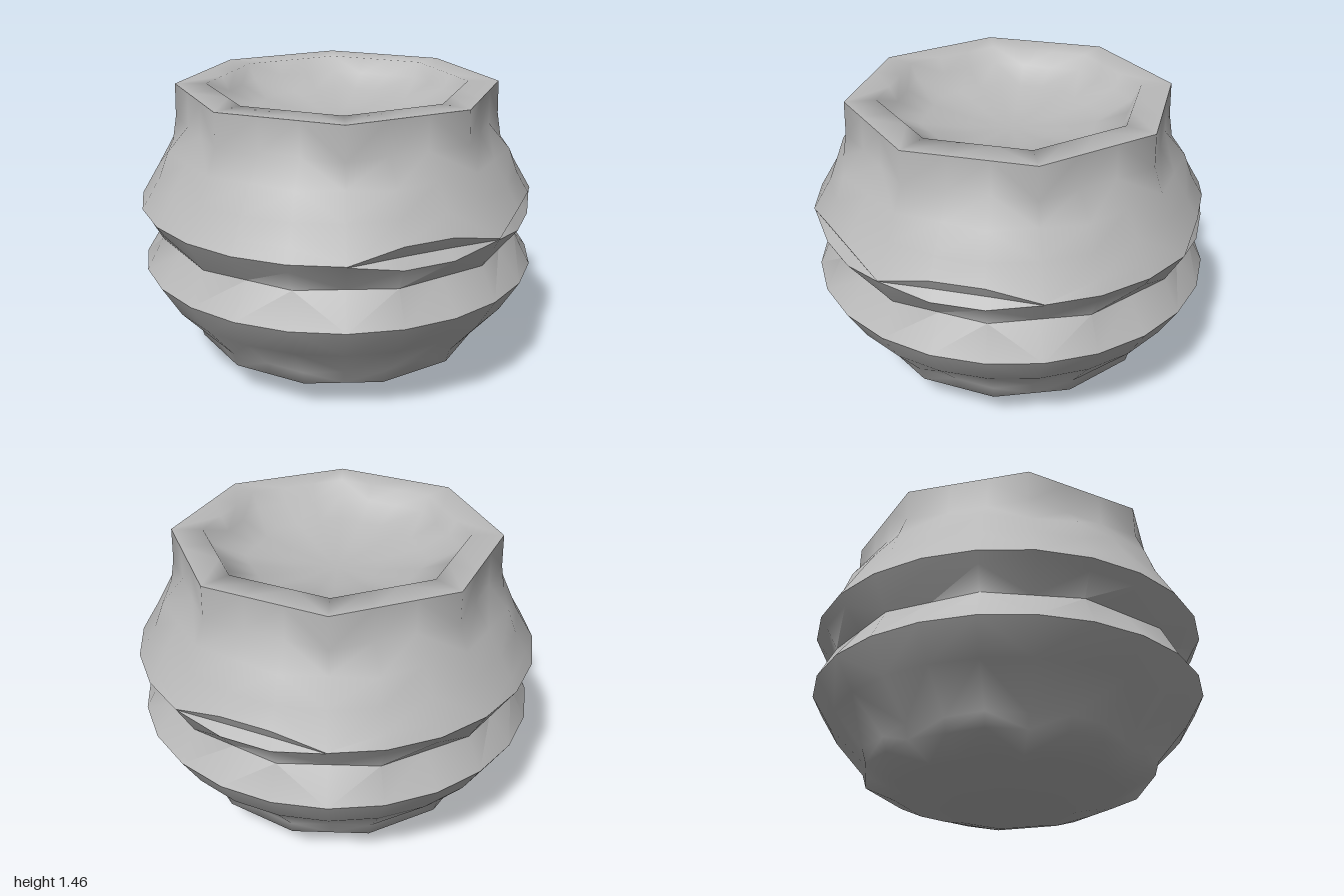
import * as THREE from 'three';
import { toCreasedNormals } from 'three/addons/utils/BufferGeometryUtils.js';

const SEG = 24;
const NOTCHED_SECTORS = [0, 2, 7];

// Radius of a regular n-sided ring, with a corner facing +z
function ringRadius(r, n, theta) {
  const step = (2 * Math.PI) / n;
  const local = ((theta + 1e-7) % step) - step / 2;
  return (r * Math.cos(step / 2)) / Math.cos(local);
}

// Skin a stack of rings [radius, y, sides, style]
function skinRings(rings, creaseDegrees) {
  const points = [];
  const index = [];
  rings.forEach(([r, y, sides, style]) => {
    for (let i = 0; i < SEG; i++) {
      const theta = (i / SEG) * 2 * Math.PI;
      // The notch valley cuts straight across an eighth of the ring
      const cut = style === 'valley' && NOTCHED_SECTORS.includes(Math.floor(i / 3));
      let radius = ringRadius(r, cut ? 8 : sides, theta);
      let height = y;
      // The notch lips close up to a point at both ends
      if (style === 'lip' && i % 3 === 0) {
        radius = 0.996;
        height = 0.89 + Math.sign(y - 0.89) * 0.006;
      }
      points.push(radius * Math.sin(theta), height, radius * Math.cos(theta));
    }
  });
  for (let j = 0; j < rings.length - 1; j++) {
    for (let i = 0; i < SEG; i++) {
      const k = (i + 1) % SEG;
      const a = j * SEG + i, b = j * SEG + k;
      const c = b + SEG, d = a + SEG;
      if (rings[j][0] === 0) index.push(a, c, d);
      else if (rings[j + 1][0] === 0) index.push(a, b, d);
      // Alternate the diagonals so the facets stay symmetrical
      else if (i % 3 === 2) index.push(a, b, d, b, c, d);
      else index.push(a, b, c, a, c, d);
    }
  }
  const geometry = new THREE.BufferGeometry();
  geometry.setAttribute('position', new THREE.Float32BufferAttribute(points, 3));
  geometry.setIndex(index);
  return toCreasedNormals(geometry, THREE.MathUtils.degToRad(creaseDegrees));
}

export function createModel() {
  const group = new THREE.Group();
  group.name = 'pot';
  const clay = new THREE.MeshStandardMaterial({ color: 0xbababa });
  clay.name = 'grey clay';

  const add = (name, creaseDegrees, rings) => {
    const mesh = new THREE.Mesh(skinRings(rings, creaseDegrees), clay);
    mesh.name = name;
    group.add(mesh);
  };

  // Rounded foot, two bulges with a groove between, and the neck
  add('body', 56, [
    [0, 0, 8], [0.3, 0.005, 8], [0.41, 0.03, 8], [0.58, 0.09, 12],
    [0.73, 0.16, 12], [0.75, 0.23, 12], [0.9, 0.41, 24], [0.995, 0.57, 24],
    [0.91, 0.73, 12], [0.968, 0.84, 24, 'lip'], [1, 0.89, 24, 'valley'],
    [0.964, 0.95, 24, 'lip'], [0.905, 1.05, 24], [0.86, 1.17, 12],
    [0.81, 1.29, 8], [0.805, 1.455, 8],
  ]);

  // Flat rim running into a shallow dish
  add('rimAndDish', 75, [
    [0.805, 1.455, 8], [0.65, 1.455, 8], [0.61, 1.38, 8],
    [0.45, 1.32, 8], [0.22, 1.28, 8], [0, 1.27, 8],
  ]);

  return group;
}
